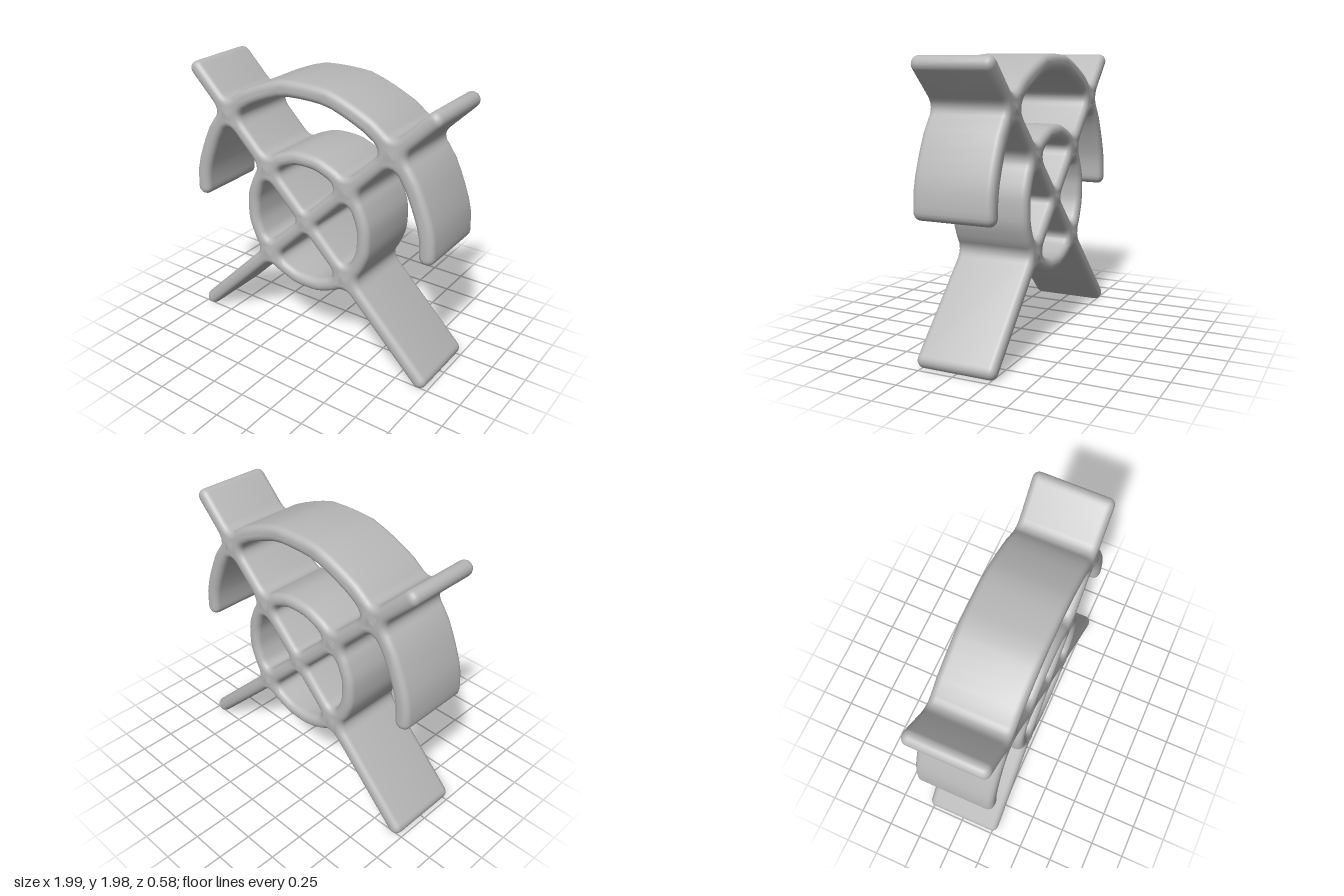
import * as THREE from 'three';
import { toCreasedNormals } from 'three/addons/utils/BufferGeometryUtils.js';

const CY = 0.988;                 // height of the hub
const HW = 0.053;                 // half width of a spoke
const RING_IN = 0.415, RING_OUT = 0.515, ARC_IN = 0.88, ARC_OUT = 0.995;
const TIP = 0.934 * Math.SQRT2;   // distance of the spoke tip centre
const BEVEL = 0.045, HALF_DEPTH = 0.281, FILLET = 0.085;
const rad = THREE.MathUtils.degToRad;

const polar = (r, a) => [r * Math.cos(a), r * Math.sin(a), 0];

// Point where one side of a spoke crosses a circle; gets a fillet
const corner = (r, deg, side, d = FILLET) => {
  const p = polar(r, rad(deg) + side * Math.asin(HW / r));
  return [p[0], p[1], d];
};

// Arc of a softened 16-sided ring; trim leaves room for the end fillets
function arc(r, deg0, deg1, trim0 = 1, trim1 = 1) {
  const margin = Math.asin(HW / r) + FILLET / r;
  const s = Math.sign(deg1 - deg0);
  const a0 = rad(deg0) + s * margin * trim0, a1 = rad(deg1) - s * margin * trim1;
  const n = Math.max(3, Math.ceil(Math.abs(a1 - a0) / rad(5.6)));
  const step = Math.PI / 8, pts = [];
  for (let i = 0; i <= n; i++) {
    const a = a0 + (a1 - a0) * i / n;
    const off = a - Math.round(a / step) * step;
    pts.push(polar(r * (1 + 0.5 * (1 / Math.cos(off) - 1)), a));
  }
  return pts;
}

// Half circle that closes a bar end
function cap(cx, cy, r, deg0) {
  const pts = [];
  for (let i = 0; i <= 8; i++) {
    const a = rad(deg0 + 180 * i / 8);
    pts.push([cx + r * Math.cos(a), cy + r * Math.sin(a), 0]);
  }
  return pts;
}
const tip = deg => cap(...polar(TIP, rad(deg)).slice(0, 2), HW, deg - 90);

// Replaces each corner with a short curve
function rounded(items) {
  const out = [];
  items.forEach(([x, y, d], i) => {
    const p = new THREE.Vector2(x, y);
    if (!d) { out.push(p); return; }
    const toward = q => {
      const v = new THREE.Vector2(q[0], q[1]).sub(p);
      return v.setLength(Math.min(d, v.length() * 0.9)).add(p);
    };
    const a = toward(items[(i + items.length - 1) % items.length]);
    const b = toward(items[(i + 1) % items.length]);
    out.push(...new THREE.QuadraticBezierCurve(a, p, b).getPoints(6));
  });
  return out.filter((p, i) => p.distanceTo(out[(i + 1) % out.length]) > 0.002);
}

function frameShape() {
  // Right half of the outline, from bottom centre round to top centre
  const mid = (ARC_IN + ARC_OUT) / 2, half = (ARC_OUT - ARC_IN) / 2;
  const right = [
    ...arc(RING_OUT, 270, 315, 0, 1), corner(RING_OUT, 315, -1),
    ...tip(315),
    corner(RING_OUT, 315, 1), ...arc(RING_OUT, -45, 45), corner(RING_OUT, 45, -1),
    corner(ARC_IN, 45, -1), ...arc(ARC_IN, 45, 4, 1, 0),
    ...cap(mid, 0.032, half, 180),
    ...arc(ARC_OUT, 4, 45, 0, 1), corner(ARC_OUT, 45, -1),
    ...tip(45),
    corner(ARC_OUT, 45, 1), ...arc(ARC_OUT, 45, 90, 1, 0),
  ];
  const left = right.slice(1, -1).reverse().map(([x, y, d]) => [-x, y, d]);
  const shape = new THREE.Shape(rounded([...right, ...left]));

  // Four openings between the spokes inside the ring
  for (let k = 0; k < 4; k++) {
    const a = 45 + 90 * k, b = a + 90;
    const p = polar(HW * Math.SQRT2, rad(a + 45));
    shape.holes.push(new THREE.Path(rounded([
      [p[0], p[1], 0.05], corner(RING_IN, a, 1), ...arc(RING_IN, a, b), corner(RING_IN, b, -1),
    ])));
  }
  // Opening between the ring and the upper arch
  shape.holes.push(new THREE.Path(rounded([
    corner(RING_OUT, 45, 1), corner(ARC_IN, 45, 1), ...arc(ARC_IN, 45, 135),
    corner(ARC_IN, 135, -1), corner(RING_OUT, 135, -1), ...arc(RING_OUT, 135, 45),
  ])));
  return shape;
}

export function createModel() {
  const model = new THREE.Group();
  model.name = 'crossedRingFrame';
  const grey = new THREE.MeshStandardMaterial({ color: 0xb8b8b8 });
  grey.name = 'plain grey';

  // Spokes, ring and arch as one rounded body
  const body = new THREE.ExtrudeGeometry(frameShape(), {
    depth: 2 * (HALF_DEPTH - BEVEL), bevelEnabled: true, bevelSize: BEVEL,
    bevelThickness: BEVEL, bevelOffset: -BEVEL, bevelSegments: 5,
  });
  body.translate(0, CY, BEVEL - HALF_DEPTH);
  const frame = new THREE.Mesh(toCreasedNormals(body, 0.7), grey);
  frame.name = 'frame';
  model.add(frame);

  // Shallow peaks where the bars cross, front and back
  const peak = new THREE.ConeGeometry(0.062, 0.008, 4, 1, true);
  peak.rotateY(Math.PI / 4).rotateX(Math.PI / 2).translate(0, 0, HALF_DEPTH + 0.004);
  const ringMid = (RING_IN + RING_OUT) / 2, arcMid = (ARC_IN + ARC_OUT) / 2;
  const nodes = [[0, 0], [arcMid, 45], [arcMid, 135]];
  for (let k = 0; k < 4; k++) nodes.push([ringMid, 45 + 90 * k]);
  for (const [r, deg] of nodes) {
    const [x, y] = polar(r, rad(deg));
    for (const turn of [0, Math.PI]) {
      const m = new THREE.Mesh(peak, grey);
      m.name = turn ? 'backJoint' : 'frontJoint';
      m.position.set(x, y + CY, 0);
      m.rotation.y = turn;
      model.add(m);
    }
  }
  return model;
}
